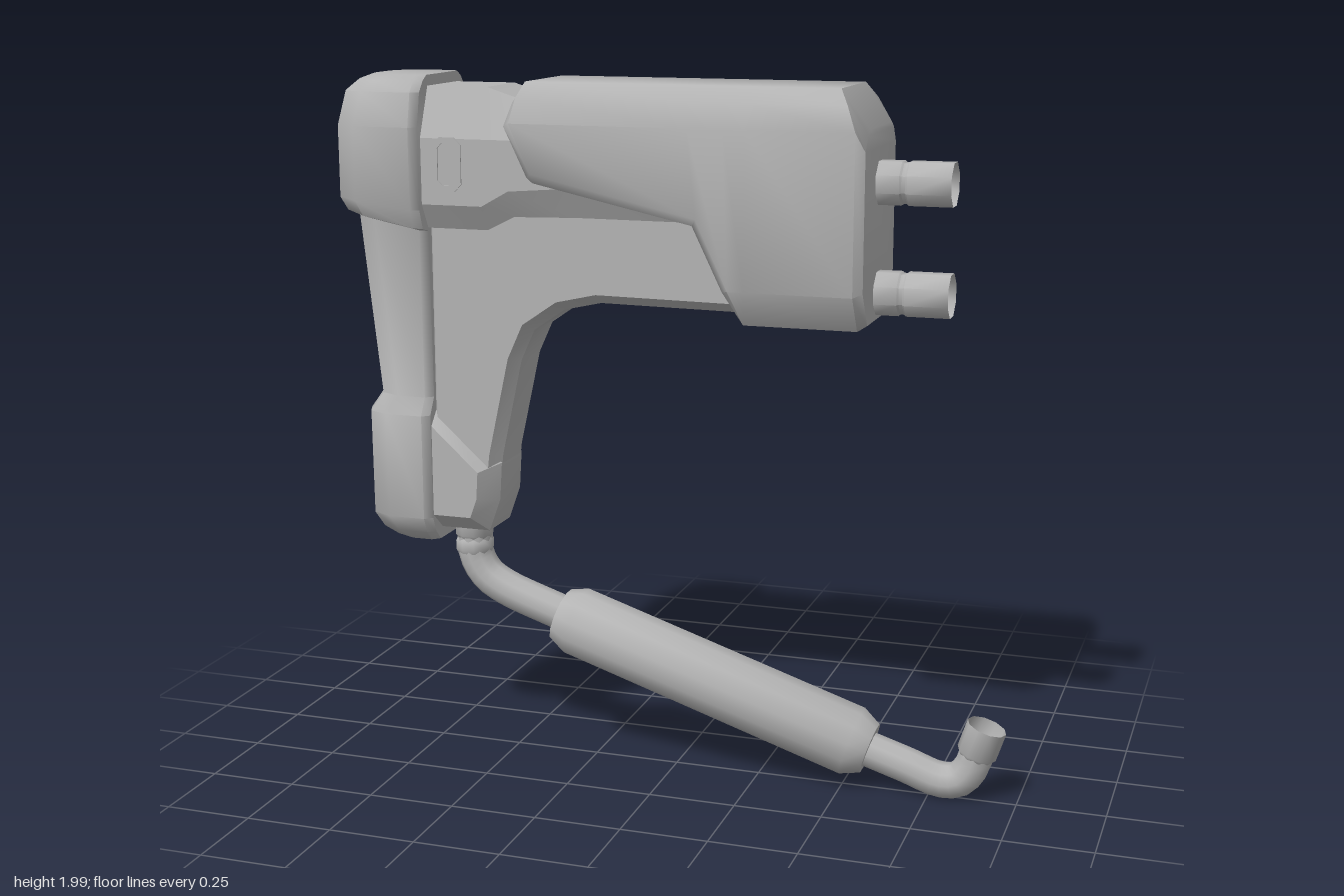
import * as THREE from 'three';
import { toCreasedNormals } from 'three/addons/utils/BufferGeometryUtils.js';

const grey = new THREE.MeshStandardMaterial({ color: 0xb4b4b4, side: THREE.DoubleSide });
grey.name = 'plain grey';

function add(parent, name, geometry) {
  const mesh = new THREE.Mesh(geometry, grey);
  mesh.name = name;
  parent.add(mesh);
  return mesh;
}

// Closed loft through rings given as half outlines [x, y, z], mirrored across z
function loft(halfRings, crease) {
  const rings = halfRings.map(h => [...h, ...h.map(([x, y, z]) => [x, y, -z]).reverse()]);
  const n = rings[0].length, k = n / 2, last = rings.length - 1;
  const tris = [];
  const quad = (a, b, c, d) => tris.push([a, b, c], [a, c, d]);
  for (let r = 0; r < last; r++)
    for (let i = 0; i < n; i++) {
      const j = (i + 1) % n;
      quad(rings[r][i], rings[r][j], rings[r + 1][j], rings[r + 1][i]);
    }
  const A = rings[0], B = rings[last];
  for (let i = 0; i < k - 1; i++) {
    quad(A[n - 1 - i], A[n - 2 - i], A[i + 1], A[i]);
    quad(B[i], B[i + 1], B[n - 2 - i], B[n - 1 - i]);
  }
  // Turn the corners round if the solid came out inside out
  const v = p => new THREE.Vector3(...p);
  const volume = tris.reduce((s, [a, b, c]) => s + v(a).dot(v(b).cross(v(c))), 0);
  if (volume < 0) tris.forEach(t => t.reverse());
  const g = new THREE.BufferGeometry();
  g.setAttribute('position', new THREE.Float32BufferAttribute(tris.flat(2), 3));
  return toCreasedNormals(g, crease);
}

// Side outline extruded to a half depth, with chamfered edges
function slab(points, half, size, thickness, hole) {
  const shape = new THREE.Shape(points.map(p => new THREE.Vector2(...p)));
  if (hole) shape.holes.push(new THREE.Path(hole.map(p => new THREE.Vector2(...p))));
  const g = new THREE.ExtrudeGeometry(shape, {
    depth: 2 * (half - thickness), bevelEnabled: size > 0, bevelSegments: 1,
    bevelSize: size, bevelOffset: -size, bevelThickness: thickness,
  });
  return toCreasedNormals(g.translate(0, 0, -(half - thickness)), 0.6);
}

// Turned part from [radius, distance] pairs, running from a point along a direction
function turned(profile, sides, from, dir) {
  const g = new THREE.LatheGeometry(profile.map(p => new THREE.Vector2(...p)), sides);
  g.rotateY(Math.PI / sides);
  const q = new THREE.Quaternion().setFromUnitVectors(
    new THREE.Vector3(0, 1, 0), new THREE.Vector3(...dir).normalize());
  g.applyQuaternion(q).translate(...from);
  return toCreasedNormals(g, 0.85);
}

// Horizontal cross-section of the rear housing; tilt lifts its back edge
function housingRing([y, back, d, tilt = 0]) {
  const f = -0.7;
  return [[f, d - 0.02], [f - 0.02, d], [back + 0.08, d], [back + 0.02, d - 0.03], [back, d - 0.075]]
    .map(([x, z]) => [x, y + tilt * (f - x) / 0.26, z]);
}

// Octagon outline with cut corners
function octagon(cx, cy, w, h, c) {
  return [[-w + c, -h], [w - c, -h], [w, -h + c], [w, h - c], [w - c, h], [-w + c, h], [-w, h - c], [-w, -h + c]]
    .map(([x, y]) => [cx + x, cy + y]);
}

// Cover cross-section: top edge x, side x, then lower side and bottom edge points
function coverRing(xTop, xSide, lower, bottom) {
  return [[xTop, 1.99, 0.14], [(xTop + xSide) / 2, 1.948, 0.178], [xSide, 1.88, 0.2], lower, bottom];
}

export function createModel() {
  const model = new THREE.Group();
  model.name = 'model';

  // Rear housing: foot block, slim column and rounded cap
  add(model, 'rearHousing', loft([
    [0.655, -0.86, 0.11], [0.685, -0.89, 0.14], [0.73, -0.91, 0.16], [1.035, -0.912, 0.16],
    [1.085, -0.885, 0.131], [1.565, -0.938, 0.137, 0.05], [1.575, -0.955, 0.175, 0.05],
    [1.63, -0.968, 0.195, 0.03], [1.86, -0.968, 0.195], [1.955, -0.95, 0.175], [1.985, -0.92, 0.15],
    [2.0, -0.885, 0.125],
  ].map(housingRing), 0.8));

  // Grip and arm that runs under the cover
  add(model, 'grip', slab([
    [-0.72, 0.7], [-0.55, 0.7], [-0.52, 0.79], [-0.505, 0.92], [-0.443, 1.2], [-0.402, 1.29], [-0.31, 1.353],
    [-0.2, 1.378], [0.26, 1.373], [0.26, 1.7], [-0.72, 1.7],
  ], 0.108, 0.028, 0.038));

  // Thicker boot at the foot of the grip
  add(model, 'gripBoot', slab([
    [-0.78, 0.688], [-0.55, 0.688], [-0.515, 0.785], [-0.508, 0.895], [-0.7, 1.07], [-0.78, 1.07],
  ], 0.135, 0.05, 0.06));

  // Upper beam between housing and cover
  const beam = (x, top, shoulder, lower, bottom) =>
    [[x, top, 0.1], [x, shoulder, 0.157], [x, lower, 0.157], [x, bottom, 0.118]];
  add(model, 'upperBeam', loft([
    beam(-0.72, 1.97, 1.83, 1.645, 1.575), beam(-0.52, 1.97, 1.83, 1.645, 1.575),
    beam(-0.44, 1.945, 1.83, 1.69, 1.615), beam(-0.25, 1.9, 1.82, 1.705, 1.62), beam(0.13, 1.9, 1.82, 1.69, 1.62),
  ], 0.3));

  // Slotted button frames on both sides
  for (const s of [1, -1]) {
    const frame = add(model, s > 0 ? 'frontSlotFrame' : 'backSlotFrame', slab(
      octagon(-0.62, 1.759, 0.042, 0.075, 0.02), 0.004, 0, 0, octagon(-0.62, 1.759, 0.028, 0.059, 0.014)));
    frame.position.z = s * 0.157;
  }

  // Large cover with a stepped lower edge
  add(model, 'cover', loft([
    [[-0.4, 1.975, 0.12], [-0.42, 1.935, 0.16], [-0.44, 1.87, 0.18], [-0.375, 1.735, 0.18], [-0.37, 1.722, 0.165]],
    coverRing(-0.39, -0.418, [-0.357, 1.745, 0.2], [-0.355, 1.718, 0.18]),
    coverRing(0.09, 0.09, [0.115, 1.64, 0.2], [0.1, 1.62, 0.18]),
    coverRing(0.19, 0.19, [0.205, 1.45, 0.2], [0.185, 1.445, 0.18]),
    coverRing(0.25, 0.25, [0.25, 1.45, 0.2], [0.232, 1.35, 0.135]),
    coverRing(0.495, 0.548, [0.548, 1.45, 0.2], [0.548, 1.35, 0.135]),
    [[0.572, 1.885, 0.13], [0.572, 1.87, 0.155], [0.572, 1.83, 0.183], [0.572, 1.46, 0.183], [0.572, 1.365, 0.122]],
  ], 0.85));

  // Two open connector pipes
  for (const [name, y] of [['upperConnector', 1.735], ['lowerConnector', 1.437]])
    add(model, name, turned(
      [[0.063, 0], [0.063, 0.075], [0.058, 0.08], [0.058, 0.09], [0.063, 0.095], [0.063, 0.215]], 8,
      [0.56, y, 0], [1, 0, 0]));

  // Exhaust: collar, bent pipe, silencer and open end cup
  const exhaust = new THREE.Group();
  exhaust.name = 'exhaust';
  model.add(exhaust);
  add(exhaust, 'pipeCollar', turned(
    [[0.053, 0], [0.057, 0.01], [0.057, 0.035], [0.05, 0.045], [0.057, 0.055], [0.057, 0.1]], 10,
    [-0.631, 0.6, 0], [0, 1, 0]));
  const bend = (pts, radius) => {
    const path = new THREE.CatmullRomCurve3(pts.map(([x, y]) => new THREE.Vector3(x, y, 0)), false, 'centripetal');
    return new THREE.TubeGeometry(path, 16, radius, 10, false);
  };
  add(exhaust, 'inletPipe', bend(
    [[-0.631, 0.65], [-0.626, 0.59], [-0.595, 0.535], [-0.54, 0.498], [-0.34, 0.427]], 0.053));
  add(exhaust, 'outletPipe', bend(
    [[0.55, 0.128], [0.68, 0.088], [0.785, 0.055], [0.835, 0.063], [0.868, 0.1], [0.886, 0.15]], 0.051));
  add(exhaust, 'silencer', turned(
    [[0, 0], [0.08, 0], [0.102, 0.05], [0.102, 0.93], [0.075, 0.985], [0, 0.985]], 12,
    [-0.358, 0.428, 0], [0.95, -0.31, 0]));
  add(exhaust, 'endCup', turned(
    [[0.05, 0], [0.057, 0.01], [0.057, 0.095]], 10, [0.881, 0.138, 0], [0.31, 0.95, 0]));

  return model;
}
